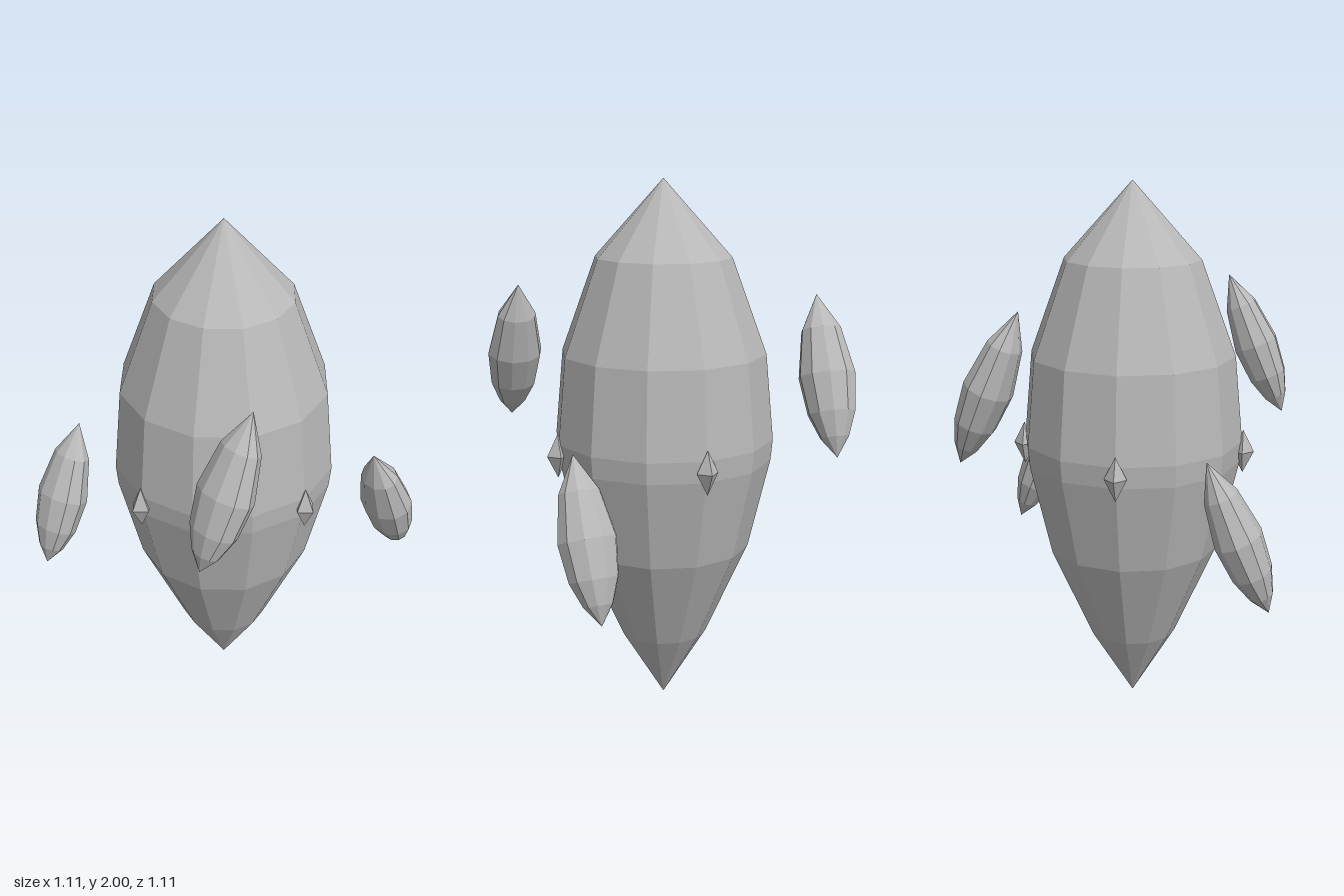
import * as THREE from 'three';

const grey = new THREE.MeshStandardMaterial({ color: 0xb8b8b8, flatShading: true });
grey.name = 'stone grey';

// Faceted spindle from [radius, height] pairs, listed bottom to top
function spindle(name, profile, sides) {
  const points = profile.map(([r, y]) => new THREE.Vector2(r, y));
  const mesh = new THREE.Mesh(new THREE.LatheGeometry(points, sides), grey);
  mesh.name = name;
  return mesh;
}

export function createModel() {
  const model = new THREE.Group();
  model.name = 'spindleWithPods';

  // Central body, with a narrow band around its widest part
  model.add(spindle('body', [
    [0, 0], [0.165, 0.27], [0.325, 0.63], [0.405, 0.97],
    [0.412, 1.05], [0.382, 1.37], [0.253, 1.72], [0, 2],
  ], 12));

  // Four leaning pods, alternating low and high around the body
  const length = 0.59;
  const podProfile = [
    [0, 0], [0.05, 0.12], [0.084, 0.27], [0.1, 0.5], [0.07, 0.78], [0, 1],
  ].map(([r, t]) => [r, (t - 0.5) * length]);
  for (const sx of [-1, 1]) {
    for (const sz of [-1, 1]) {
      const high = sx * sz < 0;
      const pod = spindle(high ? 'highPod' : 'lowPod', podProfile, 10);
      pod.position.set(sx * 0.432, high ? 1.328 : 0.828, sz * 0.45);
      pod.rotation.set(sz * 0.037, 0, sx * 0.392);
      pod.scale.set(0.88, 1, 1.06);
      model.add(pod);
    }
  }

  // Four small diamond studs around the waist
  for (let i = 0; i < 4; i++) {
    const angle = i * Math.PI / 2;
    const stud = new THREE.Mesh(new THREE.OctahedronGeometry(0.041), grey);
    stud.name = 'stud';
    stud.scale.y = 2;
    stud.position.set(Math.sin(angle) * 0.416, 1.01, Math.cos(angle) * 0.416);
    model.add(stud);
  }
  return model;
}
